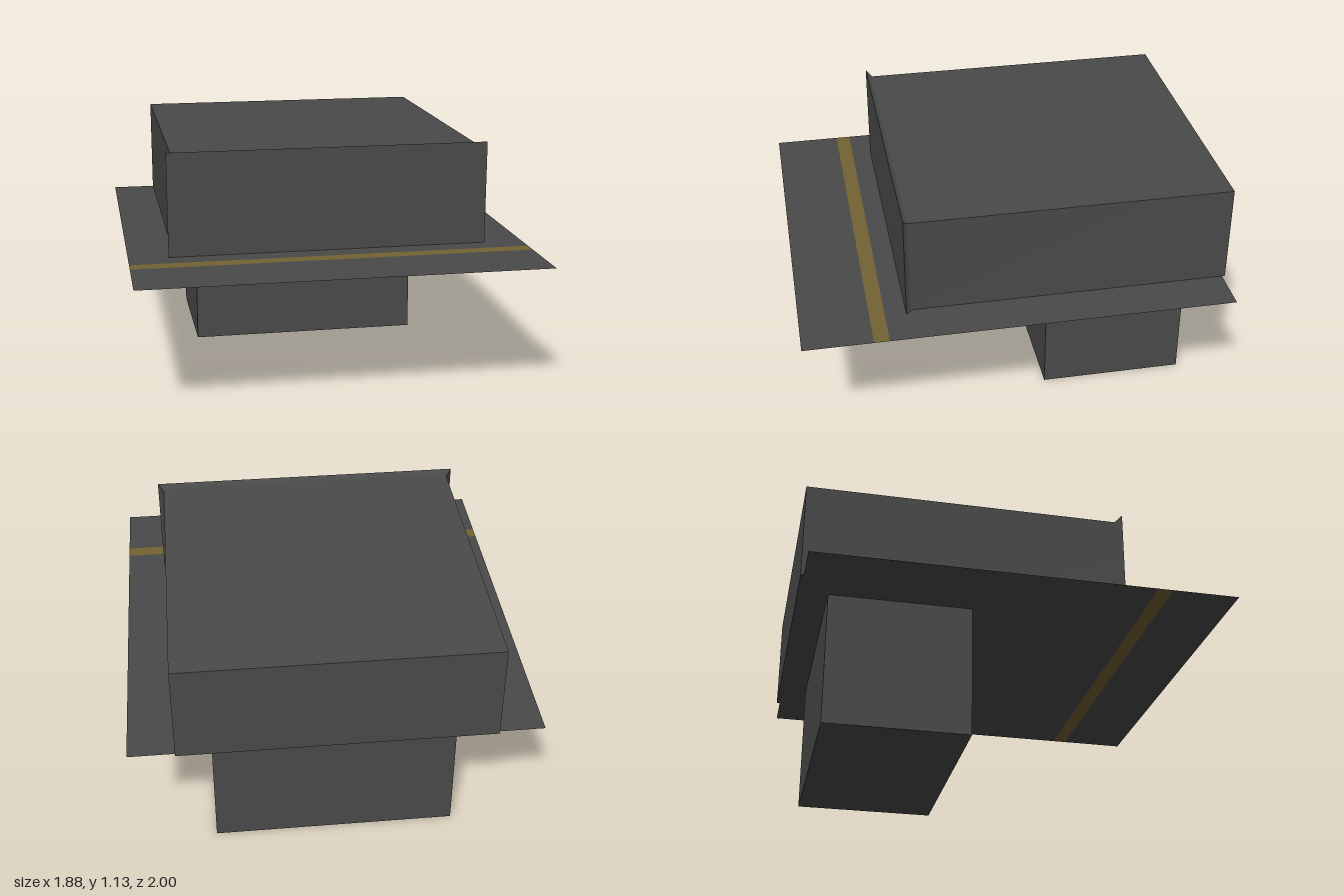
import * as THREE from 'three';

const charcoal = new THREE.MeshStandardMaterial({ color: 0x4a4a4a });
charcoal.name = 'charcoal';
const ochre = new THREE.MeshStandardMaterial({ color: 0x746333, side: THREE.DoubleSide });
ochre.name = 'ochre';
const charcoalSheet = new THREE.MeshStandardMaterial({ color: 0x4a4a4a, side: THREE.DoubleSide });
charcoalSheet.name = 'charcoal sheet';

const DECK_Y = 0.64;

// Housing: rectangular sections swept from back to front, ending in a flared lip.
// Each wall is smooth along its length; edges between walls stay sharp.
function housingGeometry() {
  const sections = [ // z, half width, top
    [-1, 0.727, 1.105],
    [0.485, 0.727, 1.105],
    [0.515, 0.755, 1.13],
  ];
  const rings = sections.map(([z, w, top]) => [
    [w, DECK_Y, z], [w, top, z], [-w, top, z], [-w, DECK_Y, z],
  ]);
  const positions = [];
  const indices = [];
  // side walls
  for (let k = 0; k < 4; k++) {
    const base = positions.length / 3;
    for (const ring of rings) positions.push(...ring[k], ...ring[(k + 1) % 4]);
    for (let r = 0; r < rings.length - 1; r++) {
      const a = base + r * 2, b = a + 1, d = a + 2, c = a + 3;
      indices.push(a, b, d, b, c, d);
    }
  }
  // front and back caps
  const cap = (ring) => {
    const base = positions.length / 3;
    ring.forEach((p) => positions.push(...p));
    indices.push(base, base + 1, base + 2, base, base + 2, base + 3);
  };
  cap(rings[rings.length - 1]);
  cap([...rings[0]].reverse());

  const geometry = new THREE.BufferGeometry();
  geometry.setAttribute('position', new THREE.Float32BufferAttribute(positions, 3));
  geometry.setIndex(indices);
  geometry.computeVertexNormals();
  return geometry;
}

// Flat strip of the deck between two z positions
function deckStrip(name, z0, z1, material) {
  const geometry = new THREE.PlaneGeometry(1.88, z1 - z0).rotateX(-Math.PI / 2);
  const mesh = new THREE.Mesh(geometry, material);
  mesh.name = name;
  mesh.position.set(0, DECK_Y, (z0 + z1) / 2);
  return mesh;
}

export function createModel() {
  const model = new THREE.Group();
  model.name = 'model';

  const housing = new THREE.Mesh(housingGeometry(), charcoal);
  housing.name = 'housing';
  model.add(housing);

  // Lower block under the deck
  const base = new THREE.Mesh(new THREE.BoxGeometry(1.13, DECK_Y, 0.68), charcoal);
  base.name = 'lowerBlock';
  base.position.set(0, DECK_Y / 2, -0.52);
  model.add(base);

  // Thin deck with a painted stripe near the front
  const deck = new THREE.Group();
  deck.name = 'deck';
  deck.add(
    deckStrip('deckRear', -0.985, 0.612, charcoalSheet),
    deckStrip('deckStripe', 0.612, 0.682, ochre),
    deckStrip('deckFront', 0.682, 1, charcoalSheet),
  );
  model.add(deck);

  return model;
}
